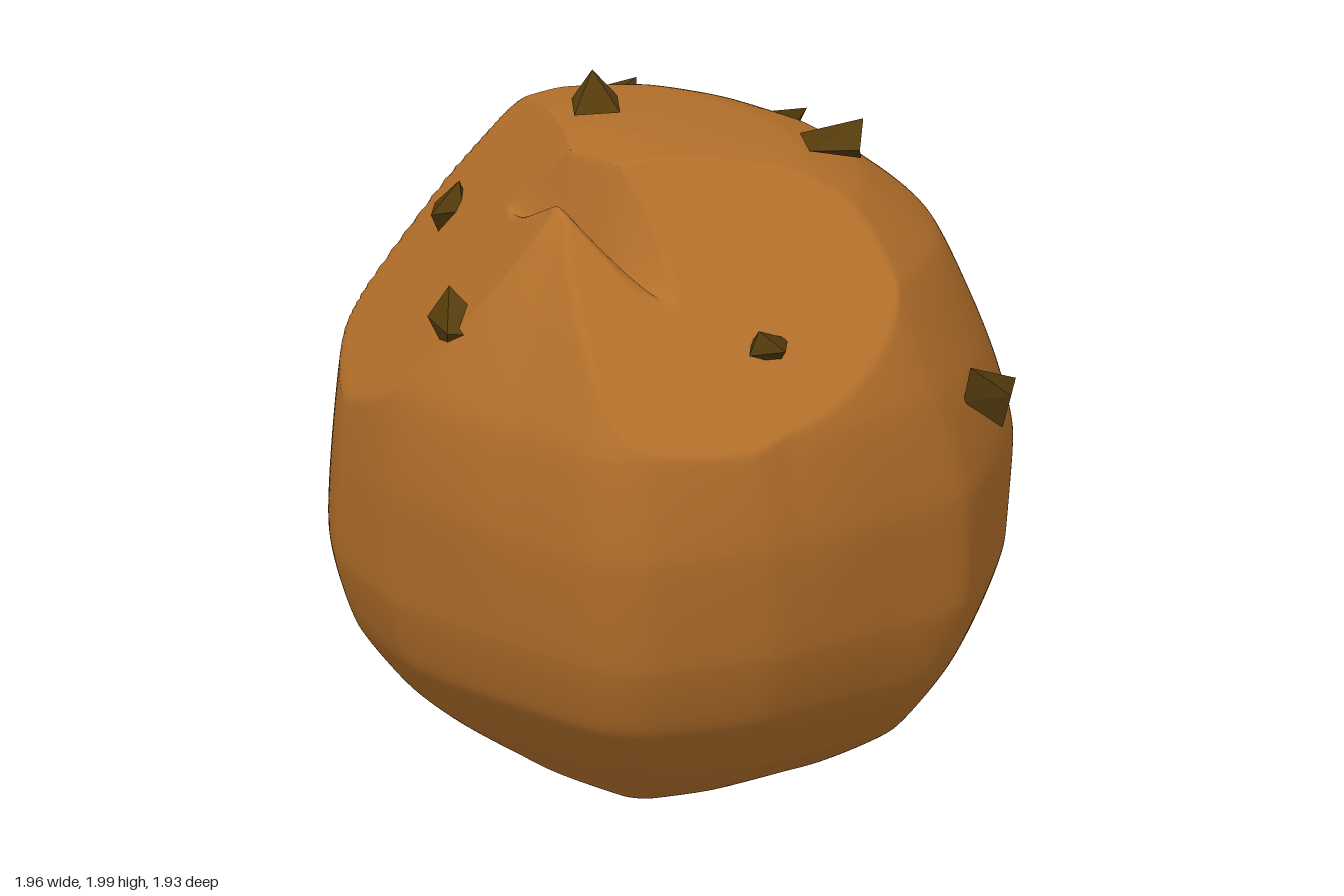
import * as THREE from 'three';

const CENTRE = new THREE.Vector3(0, 0.95, 0);
const V = (x, y, z) => new THREE.Vector3(x, y, z);
const { lerp, smoothstep, clamp } = THREE.MathUtils;

// Plan outline of the boulder (x, z), walked from the back round its left side
const PLAN = [[-0.38, -0.92], [0.18, -0.96], [0.55, -0.88], [0.88, -0.57], [0.98, -0.26], [0.95, 0.1],
  [0.66, 0.56], [0.5, 0.74], [0.07, 0.95], [-0.2, 0.9], [-0.6, 0.79], [-0.9, 0.6], [-0.98, 0.43],
  [-0.95, -0.05], [-0.9, -0.33], [-0.73, -0.65]];

// Extent of the boulder at each height: y, xMin, xMax, zMin, zMax
const RINGS = [[0.01, 0, 0, 0, 0], [0.01, -0.4, 0.31, -0.3, 0.3], [0.06, -0.48, 0.5, -0.57, 0.47],
  [0.2, -0.68, 0.7, -0.78, 0.7], [0.4, -0.86, 0.88, -0.9, 0.86], [0.62, -0.94, 0.98, -0.96, 0.94],
  [0.95, -0.98, 0.95, -0.91, 0.96], [1.25, -0.96, 0.8, -0.84, 0.91], [1.55, -0.86, 0.64, -0.68, 0.8],
  [1.75, -0.77, 0.38, -0.53, 0.66], [1.84, -0.7, 0.18, -0.44, 0.53], [1.885, -0.6, -0.06, -0.28, 0.4],
  [1.915, -0.53, -0.3, -0.08, 0.27], [1.918, -0.42, -0.42, 0.08, 0.08]];

// Cracks, as paths over the surface
const CRACKS = [
  { width: 0.045, depth: 0.055, path: [V(0.5, 1.63, 0.25), V(0.64, 1.4, 0.45), V(0.75, 1.1, 0.42), V(0.65, 0.75, 0.6)] },
  { width: 0.04, depth: 0.035, path: [V(0.02, 1.86, -0.43), V(0, 1.7, -0.62), V(-0.22, 1.3, -0.8), V(-0.45, 0.9, -0.86)] },
];
for (const c of CRACKS) c.path = c.path.map((p) => p.clone().sub(CENTRE).normalize());

// Flat faces: a chop across the upper back right and a shallower one at the upper front right
const FACES = [{ normal: V(-0.57, 0.59, -0.57), reach: 0.85 }, { normal: V(-0.38, 0.62, 0.68), reach: 0.93 }];

function chop(p) {
  const d = p.clone().sub(CENTRE);
  for (const { normal, reach } of FACES) {
    const h = d.dot(normal);
    if (h > reach) d.multiplyScalar(reach / h);
  }
  p.copy(CENTRE).add(d);
}

// Wedge-shaped notch in the top rim
function notch(p) {
  if (p.y < 1.4 || p.z < -0.27 || p.z > 0.54) return;
  const k = (p.z + 0.27) / 0.81;
  const floorX = lerp(-0.54, -0.615, k);
  const left = p.z < 0.17 ? lerp(-0.55, -0.72, (p.z + 0.27) / 0.44) : lerp(-0.72, -0.635, (p.z - 0.17) / 0.37);
  const right = p.z < 0.3 ? -0.52 : lerp(-0.52, -0.6, (p.z - 0.3) / 0.24);
  if (p.x < left || p.x > right) return;
  const s = p.x < floorX ? (floorX - p.x) / (floorX - left) : (p.x - floorX) / (right - floorX);
  p.y = Math.min(p.y, lerp(lerp(1.72, 1.57, k), p.y, clamp(s, 0, 1)));
}

// Groove along every crack, tapering at its ends
function carve(p) {
  const d = p.clone().sub(CENTRE);
  const dir = d.clone().normalize();
  const near = new THREE.Vector3();
  for (const { path, width, depth } of CRACKS) {
    let cut = 0;
    for (let i = 0; i < path.length - 1; i++) {
      const line = new THREE.Line3(path[i], path[i + 1]);
      const t = line.closestPointToPointParameter(dir, true);
      line.at(t, near).normalize();
      const taper = 0.4 + 0.6 * Math.sin((Math.PI * (i + t)) / (path.length - 1));
      cut = Math.max(cut, depth * taper * (1 - smoothstep(near.distanceTo(dir), 0, width * taper)));
    }
    d.multiplyScalar(1 - cut);
  }
  p.copy(CENTRE).add(d);
}

function boulderGeometry(rows = 208, cols = 320) {
  const plan = new THREE.CatmullRomCurve3(PLAN.map(([x, z]) => V(x / 0.98, 0, z / 0.955)), true, 'catmullrom', 0.3);
  const low = new THREE.CatmullRomCurve3(RINGS.map((r) => V(r[1], r[0], r[3])), false, 'catmullrom', 0.3);
  const high = new THREE.CatmullRomCurve3(RINGS.map((r) => V(r[2], r[0], r[4])), false, 'catmullrom', 0.3);
  const outline = Array.from({ length: cols }, (_, j) => plan.getPoint(j / cols));
  const positions = [], index = [];
  for (let i = 0; i <= rows; i++) {
    const a = low.getPoint(i / rows), b = high.getPoint(i / rows);
    const round = 0.7 * smoothstep(a.y, 0.6, 1.3);
    for (let j = 0; j < cols; j++) {
      // Upper rings grow rounder than the plan outline
      const o = outline[j];
      const k = lerp(1, 1 / Math.min(1, o.length()), round);
      const p = V(lerp(a.x, b.x, (o.x * k + 1) / 2), Math.max(0, a.y), lerp(a.z, b.z, (o.z * k + 1) / 2));
      chop(p);
      notch(p);
      carve(p);
      positions.push(p.x, p.y, p.z);
      if (i === rows) continue;
      const q = i * cols + j, n = i * cols + (j + 1) % cols;
      index.push(q, q + cols, n, n, q + cols, n + cols);
    }
  }
  const g = new THREE.BufferGeometry();
  g.setAttribute('position', new THREE.Float32BufferAttribute(positions, 3));
  g.setIndex(index);
  g.computeVertexNormals();
  return g;
}

// Stone shards: centre, half sizes, then the sideways lean (x, z) of the top and bottom corners
const SHARDS = [
  [[0.245, 1.185, 0.885], [0.115, 0.1, 0.075], [-0.9, 0.2], [0, 0.6]],
  [[-0.45, 1.47, 0.665], [0.085, 0.06, 0.06], [-0.5, 0], [0.5, 0]],
  [[0.09, 1.855, 0.45], [0.09, 0.057, 0.105], [0.9, 0.5], [0.8, 0.5]],
  [[-0.265, 1.94, -0.085], [0.095, 0.06, 0.085], [0.9, -0.95], [0.9, -0.7]],
  [[0.48, 1.68, -0.035], [0.12, 0.07, 0.055], [-0.95, 0.7], [0.6, -0.2]],
  [[0.31, 1.67, -0.505], [0.09, 0.1, 0.11], [0, 0.95], [0.3, -0.2]],
  [[0.85, 1.16, -0.345], [0.1, 0.1, 0.155], [-0.6, 0.85], [0.7, -0.25]],
  [[-0.83, 1.46, -0.1], [0.07, 0.085, 0.125], [0.7, -0.7], [-0.3, -0.3]],
  [[-0.35, 1.56, -0.53], [0.08, 0.07, 0.05], [0.4, 0.2], [-0.4, -0.2]],
];

function shardGeometry([hx, hy, hz], top, bottom) {
  const g = new THREE.OctahedronGeometry(1);
  const pos = g.attributes.position;
  for (let i = 0; i < pos.count; i++) {
    const y = Math.round(pos.getY(i));
    const [leanX, leanZ] = y > 0 ? top : y < 0 ? bottom : [0, 0];
    pos.setXYZ(i, (pos.getX(i) + leanX) * hx, y * hy, (pos.getZ(i) + leanZ) * hz);
  }
  g.computeVertexNormals();
  return g;
}

export function createModel() {
  const group = new THREE.Group();
  group.name = 'boulder';
  const rock = new THREE.MeshStandardMaterial({ color: 0xb6712b });
  rock.name = 'ochre rock';
  const dark = new THREE.MeshStandardMaterial({ color: 0x543b0c });
  dark.name = 'dark stone';

  const body = new THREE.Mesh(boulderGeometry(), rock);
  body.name = 'boulderBody';
  group.add(body);

  SHARDS.forEach(([centre, half, top, bottom], i) => {
    const shard = new THREE.Mesh(shardGeometry(half, top, bottom), dark);
    shard.name = `stoneShard${i + 1}`;
    shard.position.set(...centre);
    group.add(shard);
  });
  return group;
}
